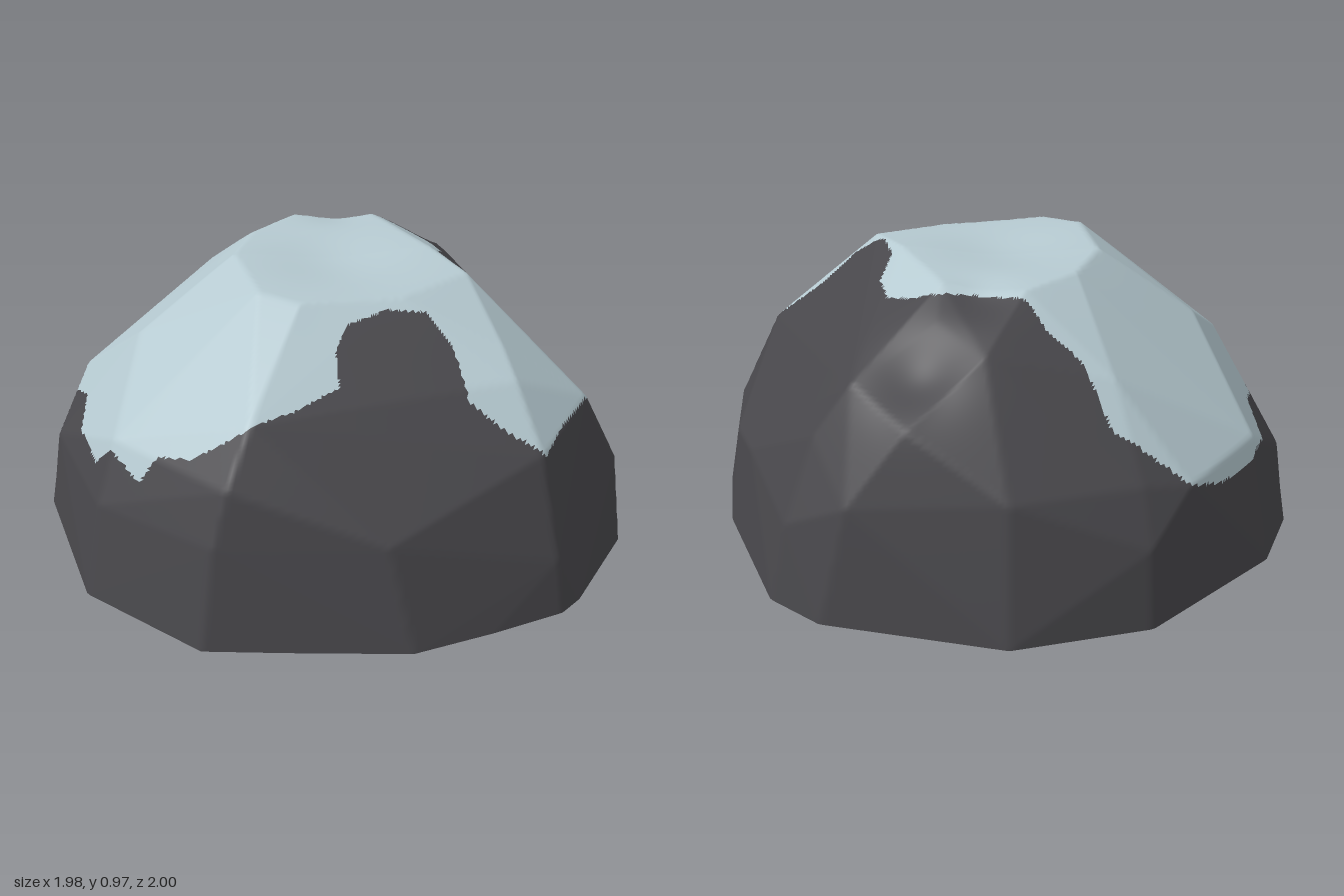
import * as THREE from 'three';
import { ConvexGeometry } from 'three/addons/geometries/ConvexGeometry.js';

const BASE_Y = 0.015;

// Outline of the foot (x, z)
const FOOT = [
  [0.06, -1], [0.51, -0.87], [0.93, -0.42], [0.99, -0.2], [0.86, 0.36], [0.73, 0.64],
  [0.59, 0.81], [0.22, 0.98], [0.12, 1], [-0.13, 0.94], [-0.4, 0.86], [-0.7, 0.6],
  [-0.9, 0.42], [-0.99, -0.08], [-0.75, -0.65], [-0.52, -0.84],
];

// Corners of the facets on the flanks (x, y, z)
const FLANKS = [
  [0.12, 0.2, 0.97], [0.14, 0.53, 0.86], [0.48, 0.57, 0.72], [0.62, 0.3, 0.74], [0.17, 0.72, 0.7],
  [0.2, 0.8, 0.6], [0.8, 0.33, 0.4], [0.86, 0.36, 0.18], [0.94, 0.28, -0.22], [0.82, 0.55, -0.2],
  [0.71, 0.73, -0.26], [0.42, 0.89, -0.3], [0.84, 0.4, -0.44], [0.37, 0.83, -0.51],
  [0.66, 0.65, -0.51], [0.46, 0.46, -0.79], [0.06, 0.28, -0.98], [0.04, 0.46, -0.9],
  [-0.13, 0.43, -0.92], [0.0, 0.73, -0.68], [-0.5, 0.44, -0.76],
  [-0.73, 0.3, -0.61], [-0.55, 0.73, -0.35], [-0.93, 0.33, -0.08], [-0.84, 0.53, -0.1],
  [-0.64, 0.71, 0.1], [-0.65, 0.71, 0.37], [-0.78, 0.54, 0.41], [-0.84, 0.36, 0.41],
  [-0.42, 0.36, 0.76], [-0.35, 0.74, 0.45],
];

// Rim of the summit
const SUMMIT = [
  [-0.36, 0.965, 0.05], [-0.3, 0.955, 0.19], [0, 0.94, 0.34], [0.27, 0.95, 0.35], [0.29, 0.975, 0.15],
  [0.34, 0.97, -0.2], [0.14, 0.96, -0.38], [-0.08, 0.965, -0.34], [-0.25, 0.975, -0.22],
];

// Hollows: centre, depth, spread
const HOLLOWS = [
  [new THREE.Vector3(0.56, 0.79, -0.4), 0.04, 0.02],
  [new THREE.Vector3(0.27, 0.96, -0.3), 0.02, 0.012],
  [new THREE.Vector3(0, 0.97, 0), 0.03, 0.05],
];

// Edge of the snow seen from above (x, z)
const SNOW = [
  [-0.13, -0.92], [-0.02, -0.84], [0.07, -0.77], [0.08, -0.6], [0.14, -0.5], [0.15, -0.41],
  [0.27, -0.28], [0.37, -0.22], [0.42, -0.15], [0.45, -0.04], [0.41, 0.08], [0.32, 0.16],
  [0.28, 0.28], [0.32, 0.42], [0.4, 0.52], [0.48, 0.72], [0.3, 0.79], [0.15, 0.86], [0.07, 0.77],
  [0, 0.66], [0.05, 0.53], [0.04, 0.41], [-0.07, 0.34], [-0.21, 0.31], [-0.29, 0.35],
  [-0.34, 0.43], [-0.5, 0.41], [-0.66, 0.37], [-0.77, 0.23], [-0.81, 0.1], [-0.86, 0.06],
  [-0.85, -0.2], [-0.76, -0.42], [-0.65, -0.54], [-0.59, -0.7], [-0.49, -0.78], [-0.3, -0.86],
];

function inside(x, z, poly) {
  let hit = false;
  poly.forEach(([ax, az], i) => {
    const [bx, bz] = poly[(i + 1) % poly.length];
    if ((az > z) !== (bz > z) && x < ax + ((bx - ax) * (z - az)) / (bz - az)) hit = !hit;
  });
  return hit;
}

// Facet planes wrapped around the corner points, without the underside
function facetPlanes() {
  const points = [...FOOT.map(([x, z]) => [x, BASE_Y, z]), ...FLANKS, ...SUMMIT]
    .map((p) => new THREE.Vector3(...p));
  const pos = new ConvexGeometry(points).getAttribute('position');
  const planes = [];
  for (let i = 0; i < pos.count; i += 3) {
    const [a, b, c] = [0, 1, 2].map((k) => new THREE.Vector3().fromBufferAttribute(pos, i + k));
    const plane = new THREE.Plane().setFromCoplanarPoints(a, b, c);
    if (plane.normal.y > -0.5) planes.push(plane);
  }
  return planes;
}

// Dense dome cast outwards on to the facets, with separate snow and rock faces
function domeGeometry(around, up) {
  const planes = facetPlanes();
  const origin = new THREE.Vector3(0, BASE_Y, 0);
  const verts = [];
  for (let j = 0; j <= up; j++) {
    const e = (j / up) * Math.PI / 2;
    for (let i = 0; i < around; i++) {
      const a = (i / around) * Math.PI * 2;
      const dir = new THREE.Vector3(Math.sin(a) * Math.cos(e), Math.sin(e), Math.cos(a) * Math.cos(e));
      let r = Infinity;
      for (const p of planes) {
        const slope = p.normal.dot(dir);
        if (slope > 1e-5) r = Math.min(r, -p.distanceToPoint(origin) / slope);
      }
      const v = dir.clone().multiplyScalar(r).add(origin);
      for (const [centre, depth, spread] of HOLLOWS) {
        v.addScaledVector(dir, -depth * Math.exp(-v.distanceToSquared(centre) / spread));
      }
      verts.push(v);
    }
  }
  const rock = [], snow = [];
  const addFace = (...f) => {
    const x = (verts[f[0]].x + verts[f[1]].x + verts[f[2]].x) / 3;
    const z = (verts[f[0]].z + verts[f[1]].z + verts[f[2]].z) / 3;
    (inside(x, z, SNOW) ? snow : rock).push(...f);
  };
  for (let j = 0; j < up; j++) {
    for (let i = 0; i < around; i++) {
      const a = j * around + i, b = j * around + ((i + 1) % around);
      addFace(a, b, b + around);
      if (j < up - 1) addFace(a, b + around, a + around);
    }
  }
  const geometry = new THREE.BufferGeometry().setFromPoints(verts);
  geometry.setIndex([...rock, ...snow]);
  geometry.addGroup(0, rock.length, 0);
  geometry.addGroup(rock.length, snow.length, 1);
  geometry.computeVertexNormals();
  return geometry;
}

// Nearly flat underside
function undersideGeometry() {
  const points = [new THREE.Vector3(0, 0, 0), ...FOOT.map(([x, z]) => new THREE.Vector3(x, BASE_Y, z))];
  const index = [];
  FOOT.forEach((_, i) => index.push(0, i + 1, ((i + 1) % FOOT.length) + 1));
  const geometry = new THREE.BufferGeometry().setFromPoints(points).setIndex(index);
  geometry.computeVertexNormals();
  return geometry;
}

export function createModel() {
  const rock = new THREE.MeshStandardMaterial({ color: 0x48474b });
  rock.name = 'dark rock';
  const snow = new THREE.MeshStandardMaterial({ color: 0xb6cad1 });
  snow.name = 'pale snow';

  const model = new THREE.Group();
  model.name = 'snowyBoulder';
  const dome = new THREE.Mesh(domeGeometry(360, 120), [rock, snow]);
  dome.name = 'boulder';
  const underside = new THREE.Mesh(undersideGeometry(), rock);
  underside.name = 'underside';
  model.add(dome, underside);
  return model;
}
